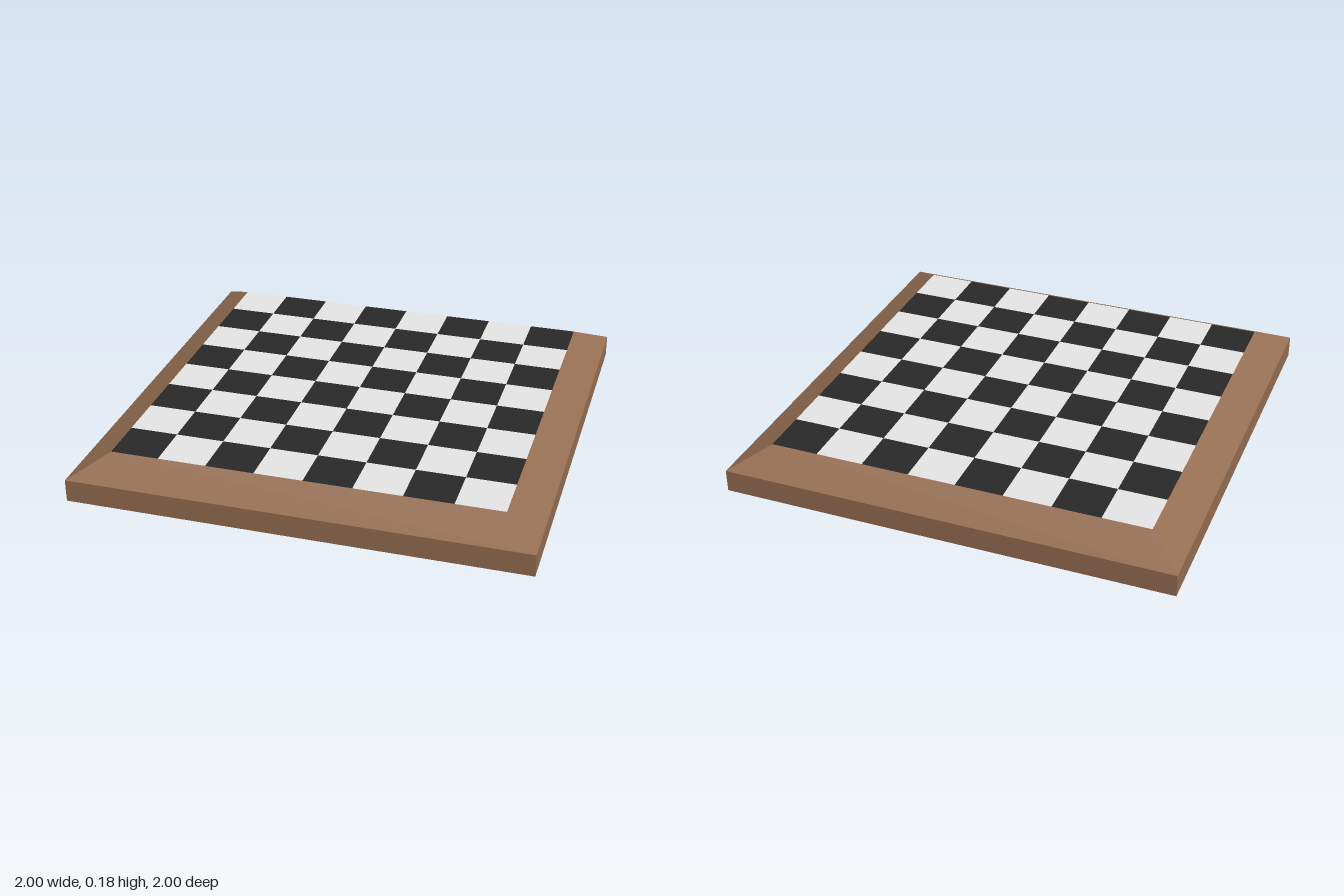
import * as THREE from 'three';
import { mergeGeometries } from 'three/addons/utils/BufferGeometryUtils.js';

const OUTER = 1;        // half width of the frame
const INNER = 0.85;     // half width of the playing field
const TOP = 0.18;       // height of the playing field
const RECESS = 0.08;    // height of the underside panel
const CELLS = 8;

export function createModel() {
  const wood = new THREE.MeshStandardMaterial({ color: 0x956e52 });
  wood.name = 'brown wood';
  const light = new THREE.MeshStandardMaterial({ color: 0xe7e7e7 });
  light.name = 'light square';
  const dark = new THREE.MeshStandardMaterial({ color: 0x292929 });
  dark.name = 'dark square';

  const board = new THREE.Group();
  board.name = 'checkeredBoard';
  const add = (name, geometry, material) => {
    const mesh = new THREE.Mesh(geometry, material);
    mesh.name = name;
    board.add(mesh);
  };

  // Frame: recessed underside slope, upright wall and bevelled top border, swept round four corners
  const profile = [[INNER, RECESS], [OUTER, 0], [OUTER, 0.1], [INNER, TOP]]
    .map(([r, y]) => new THREE.Vector2(r * Math.SQRT2, y));
  const frame = new THREE.LatheGeometry(profile, 4, Math.PI / 4).toNonIndexed();
  frame.computeVertexNormals();
  add('frame', frame, wood);

  // Underside panel
  const panel = new THREE.PlaneGeometry(INNER * 2, INNER * 2);
  panel.rotateX(Math.PI / 2).translate(0, RECESS, 0);
  add('undersidePanel', panel, wood);

  // Playing field: flat squares, light in the back corner on the model's right
  const size = (INNER * 2) / CELLS;
  const squares = [[], []];
  for (let row = 0; row < CELLS; row++) {
    for (let col = 0; col < CELLS; col++) {
      const square = new THREE.PlaneGeometry(size, size);
      square.rotateX(-Math.PI / 2);
      square.translate(-INNER + (col + 0.5) * size, TOP, -INNER + (row + 0.5) * size);
      squares[(row + col) % 2].push(square);
    }
  }
  add('lightSquares', mergeGeometries(squares[0]), light);
  add('darkSquares', mergeGeometries(squares[1]), dark);

  return board;
}
